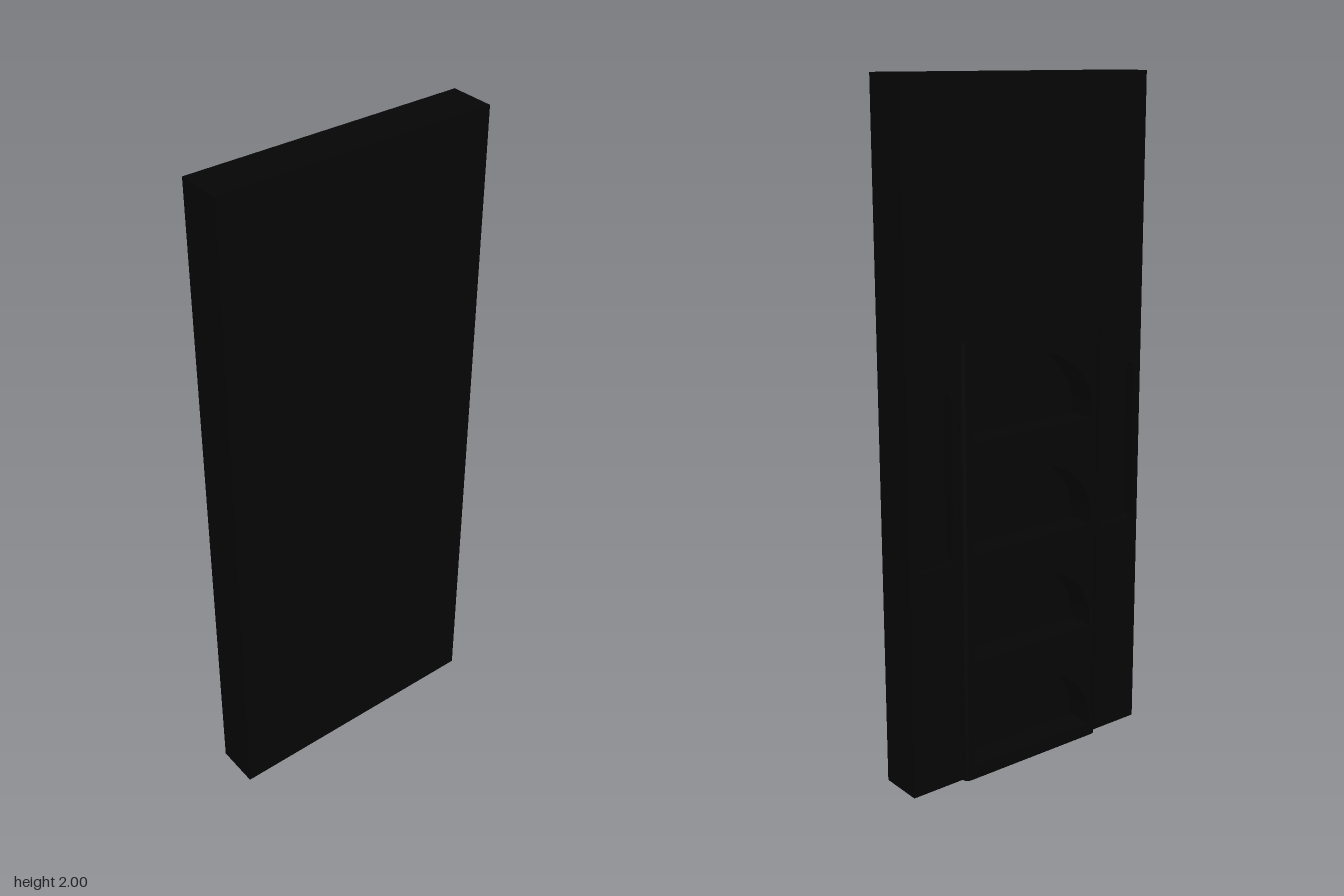
import * as THREE from 'three';

const FACE = -0.06, FRONT = -0.078, BACK = 0.075, NICHE_BACK = 0.01;
const HALF = 0.42, PANEL_HALF = 0.25, PANEL_H = 1.3, ROUND = FACE - FRONT;

// Rectangle outline in the z-y plane
function rect(halfW, h) {
  const s = new THREE.Shape();
  s.moveTo(-halfW, 0);
  s.lineTo(halfW, 0);
  s.lineTo(halfW, h);
  s.lineTo(-halfW, h);
  s.closePath();
  return s;
}

// Arched opening standing on a flat floor
function arch(floor) {
  const p = new THREE.Path();
  p.moveTo(-0.22, floor);
  p.lineTo(0.22, floor);
  p.absellipse(0, floor + 0.01, 0.22, 0.21, 0, Math.PI, false);
  p.closePath();
  return p;
}

// Upright slot with rounded corners
function slot(c, halfW, y0, y1, r) {
  const p = new THREE.Path();
  p.absarc(c + halfW - r, y0 + r, r, -Math.PI / 2, 0, false);
  p.absarc(c + halfW - r, y1 - r, r, 0, Math.PI / 2, false);
  p.absarc(c - halfW + r, y1 - r, r, Math.PI / 2, Math.PI, false);
  p.absarc(c - halfW + r, y0 + r, r, Math.PI, Math.PI * 1.5, false);
  p.closePath();
  return p;
}

export function createModel() {
  const model = new THREE.Group();
  model.name = 'nicheWallPanel';
  const black = new THREE.MeshStandardMaterial({ color: 0x050505 });

  const add = (name, geometry) => {
    const mesh = new THREE.Mesh(geometry, black);
    mesh.name = name;
    model.add(mesh);
    return mesh;
  };
  // Extrude a z-y outline between two x positions
  const layer = (name, shape, x0, x1) => {
    const g = new THREE.ExtrudeGeometry(shape, { depth: x1 - x0, bevelEnabled: false, curveSegments: 24 });
    g.rotateY(Math.PI / 2);
    g.translate(x0, 0, 0);
    return add(name, g);
  };

  const floors = [0, 1, 2, 3].map((i) => 0.04 + i * 0.326);
  const slots = [-1, 1].map((side) => slot(side * 0.335, 0.06, 0.67, 1.16, 0.02));

  // Slab: solid rear, niche layer, and slotted face layer
  layer('rearSlab', rect(HALF, 2), NICHE_BACK, BACK);
  const middle = rect(HALF, 2);
  middle.holes.push(...floors.map(arch));
  layer('nicheSlab', middle, FACE + 0.03, NICHE_BACK);
  const face = rect(HALF, 2);
  face.holes.push(...floors.map(arch), ...slots);
  layer('slottedFace', face, FACE, FACE + 0.03);

  // Raised panel pierced by the arched niches
  const panel = rect(PANEL_HALF - ROUND, PANEL_H);
  panel.holes.push(...floors.map(arch));
  layer('raisedPanel', panel, FRONT, FACE);

  // Rounded upright edges of the raised panel
  for (const side of [-1, 1]) {
    const start = side > 0 ? -Math.PI / 2 : Math.PI;
    const g = new THREE.CylinderGeometry(ROUND, ROUND, PANEL_H, 8, 1, false, start, Math.PI / 2);
    g.translate(FACE, PANEL_H / 2, side * (PANEL_HALF - ROUND));
    add(side > 0 ? 'frontPanelEdge' : 'backPanelEdge', g);
  }
  return model;
}
